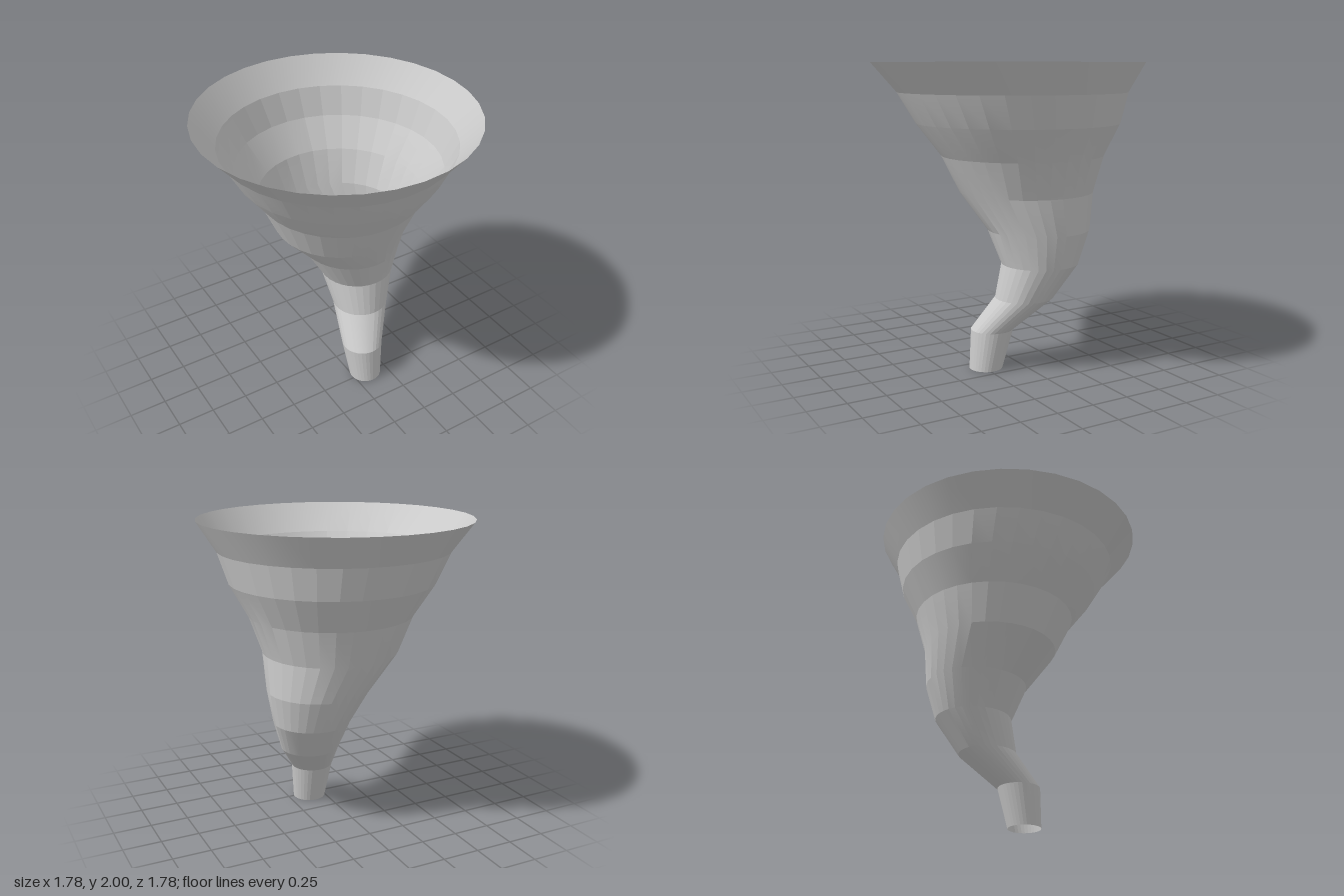
import * as THREE from 'three';
import { toCreasedNormals } from 'three/addons/utils/BufferGeometryUtils.js';

// Horizontal rings from spout to rim: [height, radius, centre x, centre z]
const RINGS = [
  [0, 0.11, 0.1, 0.23],
  [0.26, 0.14, 0.1, 0.183],
  [0.475, 0.192, 0.2, -0.005],
  [0.7, 0.253, 0.23, -0.106],
  [0.92, 0.336, 0.188, -0.12],
  [1.16, 0.442, 0.085, -0.088],
  [1.4, 0.535, 0.07, -0.067],
  [1.61, 0.668, 0.048, -0.046],
  [1.81, 0.753, 0.022, -0.02],
  [2, 0.89, 0, 0],
];

export function createModel() {
  const group = new THREE.Group();
  group.name = 'twistedFunnel';

  // Open lathe shell, each ring then slid sideways to bend the funnel
  const profile = RINGS.map(([y, r]) => new THREE.Vector2(r, y));
  const shell = new THREE.LatheGeometry(profile, 32);
  const pos = shell.attributes.position;
  for (let i = 0; i < pos.count; i++) {
    const [, , cx, cz] = RINGS[i % RINGS.length];
    pos.setX(i, pos.getX(i) + cx);
    pos.setZ(i, pos.getZ(i) + cz);
  }

  // Faceted look, smoothing only the gentlest bends
  const funnel = new THREE.Mesh(
    toCreasedNormals(shell, THREE.MathUtils.degToRad(10)),
    new THREE.MeshStandardMaterial({ color: 0xcccccc, side: THREE.DoubleSide })
  );
  funnel.name = 'funnelShell';
  group.add(funnel);
  return group;
}
